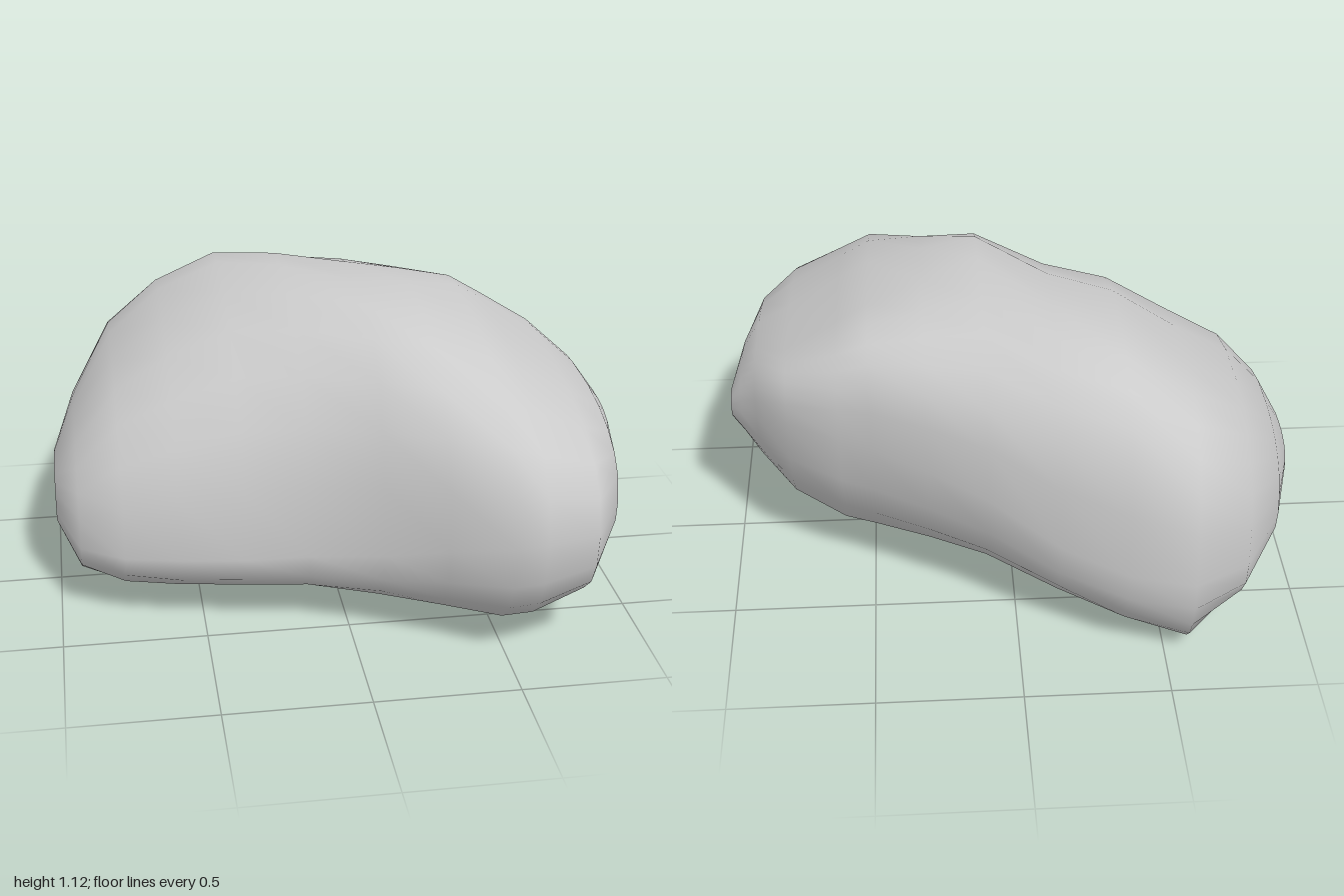
import * as THREE from 'three';

// Cross-sections from right to left: each has four extreme points (back, top, front, bottom)
// [x, backZ, backY, topZ, topY, frontZ, frontY, bottomZ, bottomY]
const SECTIONS = [
  [-1.0, -0.24, 0.36, -0.08, 0.45, 0.1, 0.32, -0.06, 0.25],
  [-0.92, -0.53, 0.37, -0.18, 0.61, 0.3, 0.27, 0.0, 0.13],
  [-0.77, -0.8, 0.37, -0.36, 0.82, 0.38, 0.26, -0.2, 0.05],
  [-0.58, -0.9, 0.37, -0.45, 0.95, 0.44, 0.27, -0.63, 0.0],
  [-0.36, -0.86, 0.39, -0.38, 1.07, 0.49, 0.28, -0.45, 0.02],
  [-0.14, -0.775, 0.45, -0.26, 1.09, 0.53, 0.3, -0.2, 0.035],
  [0.1, -0.655, 0.57, 0.03, 1.115, 0.64, 0.34, 0.05, 0.045],
  [0.3, -0.55, 0.62, -0.04, 1.075, 0.77, 0.41, 0.15, 0.035],
  [0.49, -0.45, 0.65, -0.12, 1.03, 0.9, 0.47, 0.22, 0.022],
  [0.6, -0.4, 0.66, -0.12, 0.965, 0.885, 0.47, 0.24, 0.025],
  [0.78, -0.31, 0.67, -0.12, 0.855, 0.86, 0.48, 0.28, 0.12],
  [0.9, -0.15, 0.6, 0.04, 0.765, 0.66, 0.5, 0.25, 0.27],
  [0.96, -0.07, 0.56, 0.1, 0.68, 0.38, 0.52, 0.15, 0.4],
  [1.0, -0.03, 0.55, 0.02, 0.6, 0.08, 0.55, 0.02, 0.5],
];
const SIDES = 24;

// Point on a section: four superelliptic quarter arcs joined at the extremes
function sectionPoint([x, bz, by, tz, ty, fz, fy, oz, oy], j) {
  const a = (j / SIDES) * Math.PI * 2;
  const front = Math.cos(a) >= 0, upper = Math.sin(a) >= 0;
  const n = upper ? (front ? 2.35 : 2.7 + 0.3 * x) : (front ? 2.5 : 2.2);
  const c = Math.pow(Math.abs(Math.cos(a)), 2 / n);
  const s = Math.pow(Math.abs(Math.sin(a)), 2 / n);
  const sideZ = front ? fz : bz, sideY = front ? fy : by;
  const capZ = upper ? tz : oz, capY = upper ? ty : oy;
  return [capZ + (sideZ - capZ) * c, sideY + (capY - sideY) * s];
}

function rockGeometry() {
  const pos = [], index = [];
  const last = SECTIONS.length - 1;
  SECTIONS.forEach((sec, i) => {
    for (let j = 0; j < SIDES; j++) {
      const [z, y] = sectionPoint(sec, j);
      pos.push(sec[0], y, z);
      if (i === last) continue;
      const a = i * SIDES + j, b = i * SIDES + ((j + 1) % SIDES);
      index.push(a, a + SIDES, b, b, a + SIDES, b + SIDES);
    }
  });
  // Close both ends with a fan
  for (const i of [0, last]) {
    const s = SECTIONS[i], c = pos.length / 3;
    pos.push(s[0], (s[4] + s[8]) / 2, (s[1] + s[5]) / 2);
    for (let j = 0; j < SIDES; j++) {
      const a = i * SIDES + j, b = i * SIDES + ((j + 1) % SIDES);
      if (i === 0) index.push(c, a, b);
      else index.push(c, b, a);
    }
  }
  const g = new THREE.BufferGeometry();
  g.setAttribute('position', new THREE.Float32BufferAttribute(pos, 3));
  g.setIndex(index);
  g.computeVertexNormals();
  return g;
}

export function createModel() {
  const group = new THREE.Group();
  group.name = 'boulder';
  const rock = new THREE.Mesh(rockGeometry(), new THREE.MeshStandardMaterial({ color: 0xcccccc }));
  rock.name = 'rock';
  group.add(rock);
  return group;
}
